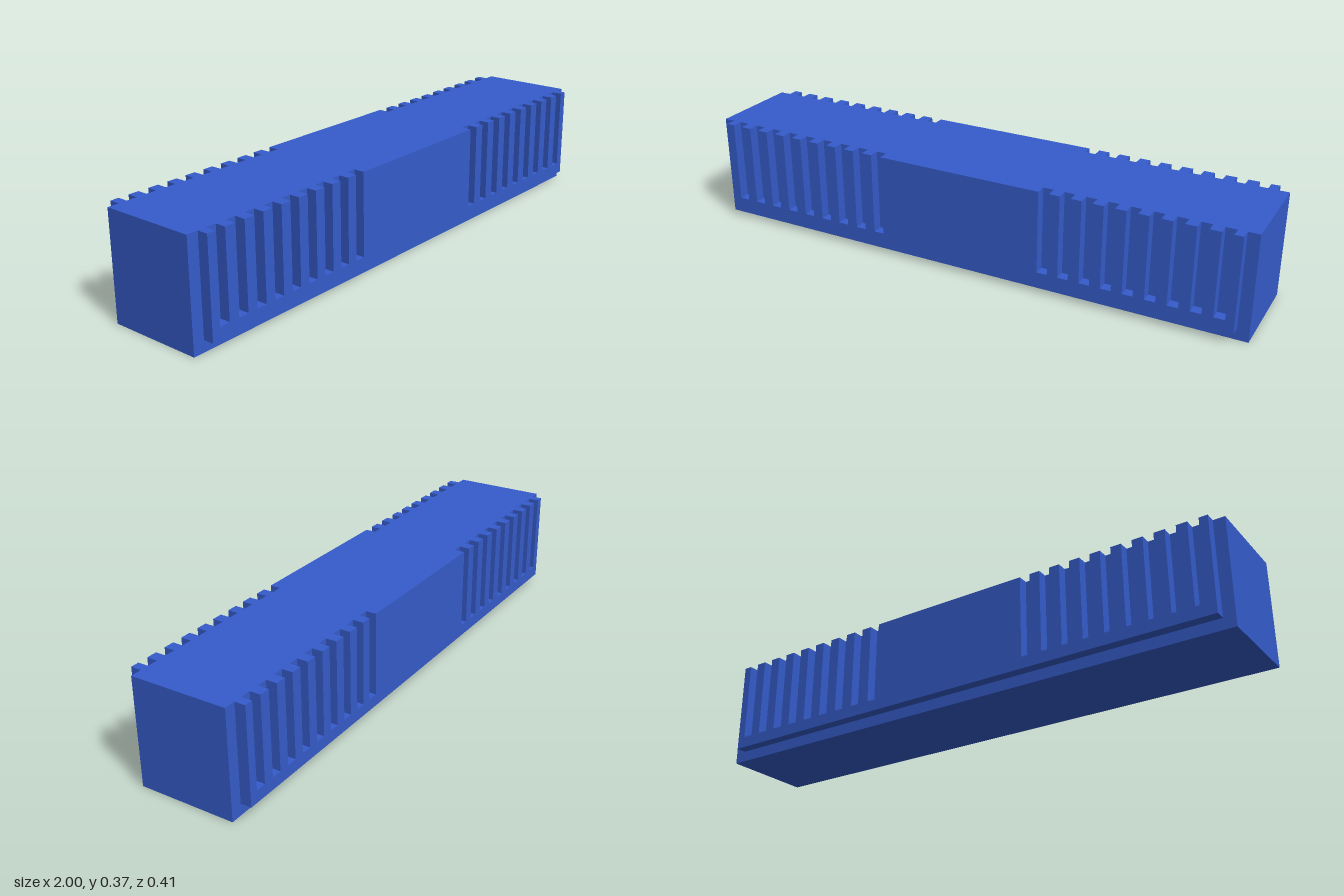
import * as THREE from 'three';

export function createModel() {
  const group = new THREE.Group();
  const blue = new THREE.MeshStandardMaterial({ color: 0x355ccb });
  blue.name = 'blue';

  const top = 0.37, coreZ = 0.167, panelDepth = 0.037;
  const panelX = 0.96, panelBottom = 0.039;
  const slotBottom = 0.08, slotHalf = 0.0185, slotCount = 9;
  const firstSlot = 0.316, pitch = 0.0745;

  // Solid central block
  const core = new THREE.Mesh(new THREE.BoxGeometry(2, top, coreZ * 2), blue);
  core.name = 'coreBlock';
  core.position.y = top / 2;
  group.add(core);

  // Slot centres, mirrored about the plain middle section
  const centres = [];
  for (let i = 0; i < slotCount; i++) {
    const x = firstSlot + i * pitch;
    centres.push(x, -x);
  }
  centres.sort((a, b) => b - a);

  // Comb-shaped outline with grip slots open at the top
  const outline = new THREE.Shape();
  outline.moveTo(-panelX, panelBottom);
  outline.lineTo(panelX, panelBottom);
  outline.lineTo(panelX, top);
  for (const x of centres) {
    outline.lineTo(x + slotHalf, top);
    outline.lineTo(x + slotHalf, slotBottom);
    outline.lineTo(x - slotHalf, slotBottom);
    outline.lineTo(x - slotHalf, top);
  }
  outline.lineTo(-panelX, top);
  outline.closePath();

  // Slotted panels on the front and back
  const panelGeometry = new THREE.ExtrudeGeometry(outline, { depth: panelDepth, bevelEnabled: false });
  for (const [name, z, turn] of [['frontSlottedPanel', coreZ, 0], ['backSlottedPanel', -coreZ, Math.PI]]) {
    const panel = new THREE.Mesh(panelGeometry, blue);
    panel.name = name;
    panel.position.z = z;
    panel.rotation.y = turn;
    group.add(panel);
  }

  return group;
}
